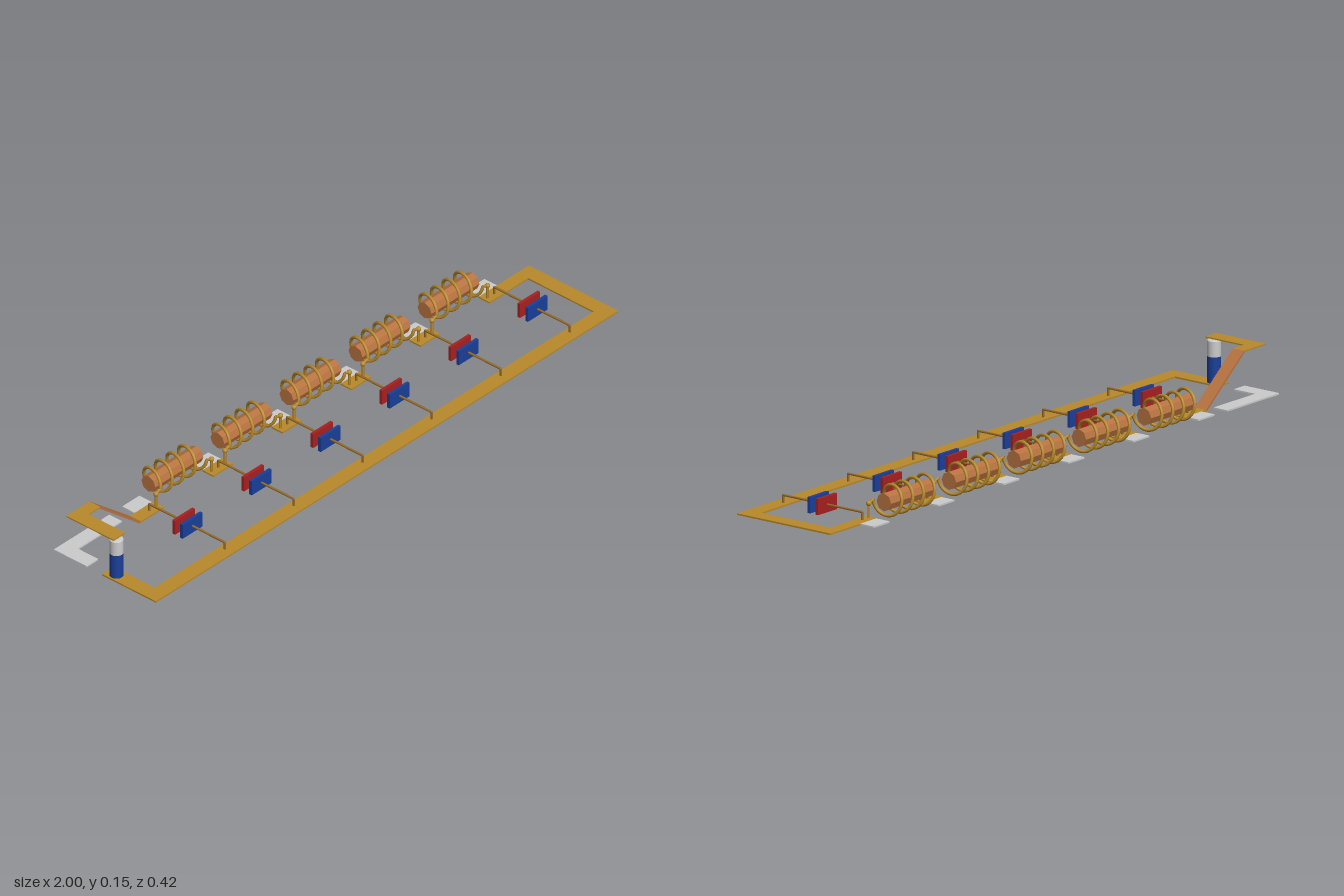
import * as THREE from 'three';

const mat = (color, flat = false) =>
  new THREE.MeshStandardMaterial({ color, flatShading: flat, side: THREE.DoubleSide });
const GOLD = mat(0xb8892b), COPPER = mat(0xb87340, true), BLUE = mat(0x1a3f9a);
const RED = mat(0xa82020), GREY = mat(0xcccccc), WIRE = mat(0x9a6c28);

function add(parent, name, geometry, material, x = 0, y = 0, z = 0) {
  const mesh = new THREE.Mesh(geometry, material);
  mesh.name = name;
  mesh.position.set(x, y, z);
  parent.add(mesh);
  return mesh;
}

// Box given by its extents on each axis
function slab(parent, name, material, [x0, x1], [y0, y1], [z0, z1]) {
  return add(parent, name, new THREE.BoxGeometry(x1 - x0, y1 - y0, z1 - z0), material,
    (x0 + x1) / 2, (y0 + y1) / 2, (z0 + z1) / 2);
}

// Round wire with sharp bends, made of straight runs
function wire(parent, name, material, radius, points) {
  const path = new THREE.CurvePath();
  const v = points.map((p) => new THREE.Vector3(...p));
  for (let i = 1; i < v.length; i++) {
    const run = new THREE.LineCurve3(v[i - 1], v[i]);
    add(parent, name, new THREE.TubeGeometry(run, 1, radius, 8), material);
    add(parent, name + 'Bend', new THREE.SphereGeometry(radius, 8, 6), material, v[i].x, v[i].y, v[i].z);
  }
}

// Helical winding around the x axis, starting and ending on the front side
class Helix extends THREE.Curve {
  constructor(length, radius, turns) {
    super();
    Object.assign(this, { length, radius, turns });
  }
  getPoint(t, target = new THREE.Vector3()) {
    const a = t * this.turns * Math.PI * 2;
    return target.set((t - 0.5) * this.length, this.radius * Math.sin(a), this.radius * Math.cos(a));
  }
}

const T = 0.005;                 // strip thickness
const BACK = [-0.139, -0.097];   // depth range of the rear strips
const PITCH = 0.2985, FIRST = -0.667;

function buildStrips() {
  const g = new THREE.Group();
  g.name = 'conductorStrips';
  const flat = [0, T];
  slab(g, 'frontStrip', GOLD, [-1, 1], flat, [0.159, 0.209]);
  slab(g, 'leftStrip', GOLD, [0.95, 1], flat, [-0.139, 0.159]);
  slab(g, 'rearStub', GOLD, [0.866, 0.95], flat, BACK);
  slab(g, 'batteryBaseStrip', GOLD, [-1, -0.95], flat, [0.0, 0.159]);
  // Raised strip from the battery cap to the ramp
  slab(g, 'topStrip', GOLD, [-1, -0.95], [0.141, 0.145], [-0.139, 0.045]);
  slab(g, 'topStripCorner', GOLD, [-0.95, -0.9], [0.141, 0.145], BACK);
  const s = new THREE.Shape();
  s.moveTo(-0.9, 0.145);
  s.lineTo(-0.725, 0.005);
  s.lineTo(-0.731, 0.001);
  s.lineTo(-0.904, 0.141);
  add(g, 'ramp', new THREE.ExtrudeGeometry(s, { depth: 0.042, bevelEnabled: false }), COPPER, 0, 0, BACK[0]);
  slab(g, 'rampFoot', GOLD, [-0.731, FIRST - 0.04], flat, BACK);
  // Loose grey angle plate at the rear corner
  slab(g, 'anglePlateLong', GREY, [-1, -0.76], flat, [-0.188, -0.139]);
  slab(g, 'anglePlateShort', GREY, [-1, -0.95], flat, [-0.139, -0.06]);
  return g;
}

function buildBattery() {
  const g = new THREE.Group();
  g.name = 'battery';
  const turned = (name, material, pts) =>
    add(g, name, new THREE.LatheGeometry(pts.map((p) => new THREE.Vector2(...p)), 32), material);
  const R = 0.0205;
  add(g, 'batteryBody', new THREE.CylinderGeometry(R, R, 0.079, 32), BLUE, 0, 0.0445, 0);
  add(g, 'batteryUpper', new THREE.CylinderGeometry(R, R, 0.046, 32), GREY, 0, 0.107, 0);
  turned('batteryShoulder', GREY, [[R, 0.13], [R - 0.002, 0.134], [0, 0.134]]);
  add(g, 'batteryCap', new THREE.CylinderGeometry(0.007, 0.007, 0.009, 20), GREY, 0, 0.1375, 0);
  g.position.set(-0.975, 0, 0.0335);
  return g;
}

// Two facing plates on bent lead wires
function buildCapacitor(x) {
  const g = new THREE.Group();
  g.name = 'capacitor';
  const w = [-0.043, 0.043], h = [0.005, 0.053], y = 0.028, r = 0.0035;
  slab(g, 'bluePlate', BLUE, w, h, [0.043, 0.053]);
  slab(g, 'redPlate', RED, w, h, [0.013, 0.023]);
  wire(g, 'frontLead', WIRE, r, [[0, y, 0.05], [0, y, 0.178], [0, 0.003, 0.178]]);
  wire(g, 'rearLead', WIRE, r, [[0, y, 0.015], [0, y, -0.116], [0, 0.003, -0.116]]);
  g.position.x = x;
  return g;
}

// Contact pads under each capacitor's rear lead
function buildPad(x) {
  const g = new THREE.Group();
  g.name = 'contactPad';
  slab(g, 'goldPad', GOLD, [-0.042, 0.042], [0, T], BACK);
  slab(g, 'greyPad', GREY, [-0.037, 0.037], [0, T], [-0.188, -0.139]);
  g.position.x = x;
  return g;
}

// Copper core with winding and end leads
function buildCoil(x) {
  const g = new THREE.Group();
  g.name = 'coil';
  const cy = 0.055, cz = -0.16, r = 0.005, R = 0.0435, L = 0.2;
  const core = add(g, 'core', new THREE.CylinderGeometry(0.027, 0.027, 0.208, 8), COPPER, 0, cy, cz);
  core.rotation.z = Math.PI / 2;
  add(g, 'winding', new THREE.TubeGeometry(new Helix(L, R, 4), 128, r, 8), GOLD, 0, cy, cz);
  for (const s of [-1, 1]) {
    const z = cz + R;
    wire(g, 'coilLead', GOLD, 0.004,
      [[s * L / 2, cy, z], [s * 0.12, 0.048, z], [s * 0.12, 0.003, z]]);
    add(g, 'coilJoint', new THREE.SphereGeometry(0.008, 12, 8), GOLD, s * 0.12, 0.048, z);
  }
  g.position.x = x;
  return g;
}

export function createModel() {
  const model = new THREE.Group();
  model.name = 'ladderCircuit';
  model.add(buildStrips(), buildBattery());
  for (let i = 0; i < 6; i++) {
    const x = FIRST + i * PITCH;
    model.add(buildCapacitor(x), buildPad(x));
    if (i < 5) model.add(buildCoil(x + PITCH / 2));
  }
  return model;
}
